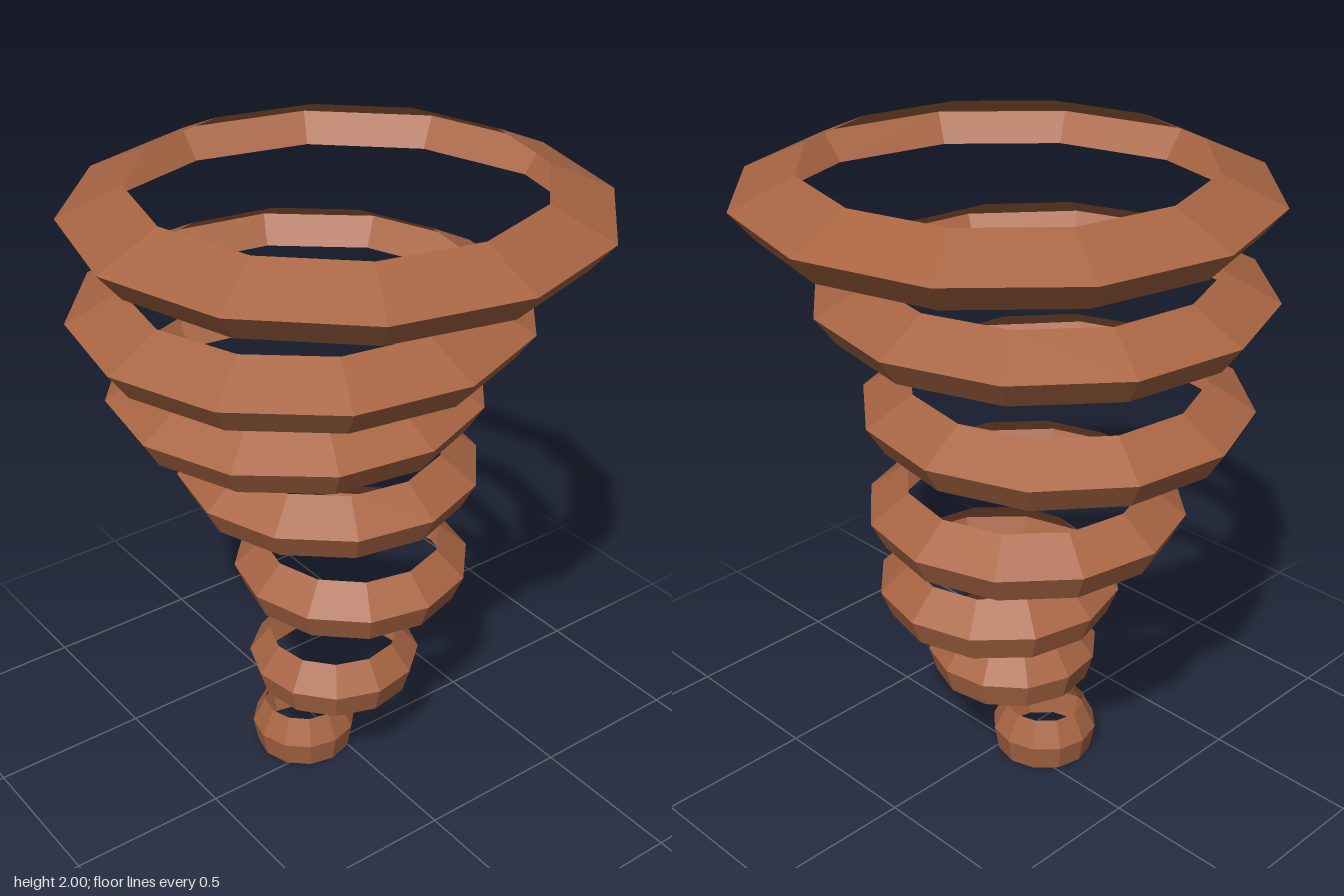
import * as THREE from 'three';

export function createModel() {
  const model = new THREE.Group();
  model.name = 'whirlwind';

  const clay = new THREE.MeshStandardMaterial({ color: 0xa86543 });
  clay.name = 'clayBrown';
  clay.flatShading = true;
  clay.side = THREE.DoubleSide; // the bands are open shells

  // Centre x, centre z and twist in degrees of each band, bottom to top
  const bands = [
    [-0.088, 0.085, 2],
    [-0.005, 0.02, -5],
    [-0.04, -0.075, 2],
    [-0.145, -0.065, 4],
    [-0.165, 0.038, 6],
    [-0.068, 0.08, 5],
    [0, 0, 1.5],
  ];

  bands.forEach(([x, z, twist], i) => {
    // Twelve-sided open band, widest at mid height, narrowing most at the top
    const r = 0.17 + 0.102 * i;
    const profile = [
      new THREE.Vector2(r * 0.91, -0.085),
      new THREE.Vector2(r, 0),
      new THREE.Vector2(r * 0.757, 0.085),
    ];
    const band = new THREE.Mesh(new THREE.LatheGeometry(profile, 12), clay);
    band.name = `windBand${i + 1}`;
    band.position.set(x, 0.085 + 0.305 * i, z);
    band.rotation.y = THREE.MathUtils.degToRad(twist);
    model.add(band);
  });

  return model;
}
